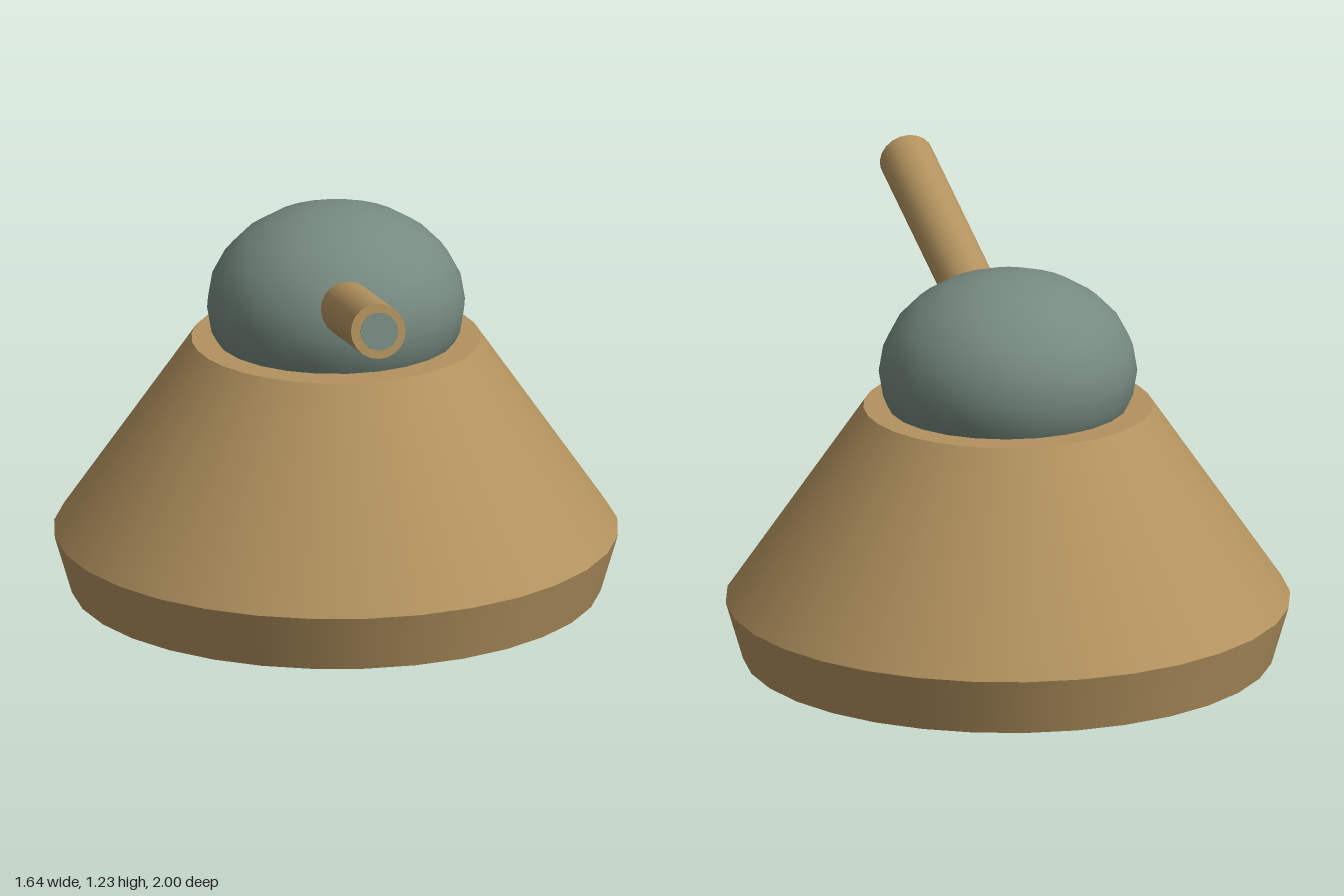
import * as THREE from 'three';

export function createModel() {
  const tan = new THREE.MeshStandardMaterial({ name: 'sandTan', color: 0xb3935f });
  const teal = new THREE.MeshStandardMaterial({ name: 'greyGreen', color: 0x768a80 });
  const model = new THREE.Group();
  model.name = 'turret';

  const add = (name, geometry, material, y, z, parent = model) => {
    const mesh = new THREE.Mesh(geometry, material);
    mesh.name = name;
    mesh.position.set(0, y, z);
    parent.add(mesh);
    return mesh;
  };

  const centreZ = -0.18;
  const rimY = 0.17;
  const topY = 0.755;

  // Flared skirt and sloping body, joined at the wide rim
  const skirt = new THREE.CylinderGeometry(0.82, 0.77, rimY, 32);
  add('baseSkirt', skirt, tan, rimY / 2, centreZ);
  const body = new THREE.CylinderGeometry(0.42, 0.82, topY - rimY, 32);
  add('baseBody', body, tan, (topY + rimY) / 2, centreZ);

  // Flattened dome set into the top of the body
  const dome = add('dome', new THREE.SphereGeometry(1, 24, 12), teal, 0.86, centreZ);
  dome.scale.set(0.376, 0.295, 0.36);

  // Gun points forward along its own +z and is tilted upward about the muzzle
  const gun = new THREE.Group();
  gun.name = 'gun';
  gun.position.set(0, 1.157, 0.952);
  gun.rotation.x = -0.251;
  model.add(gun);

  const length = 0.93;
  const barrel = new THREE.CylinderGeometry(0.08, 0.08, length, 20).rotateX(Math.PI / 2);
  add('barrel', barrel, tan, 0, -length / 2, gun);

  // Thin disc just ahead of the muzzle
  const disc = new THREE.CylinderGeometry(0.055, 0.055, 0.006, 20).rotateX(Math.PI / 2);
  const muzzle = add('muzzleDisc', disc, teal, 0.002, 0.032, gun);
  muzzle.rotation.x = -0.07;

  return model;
}
